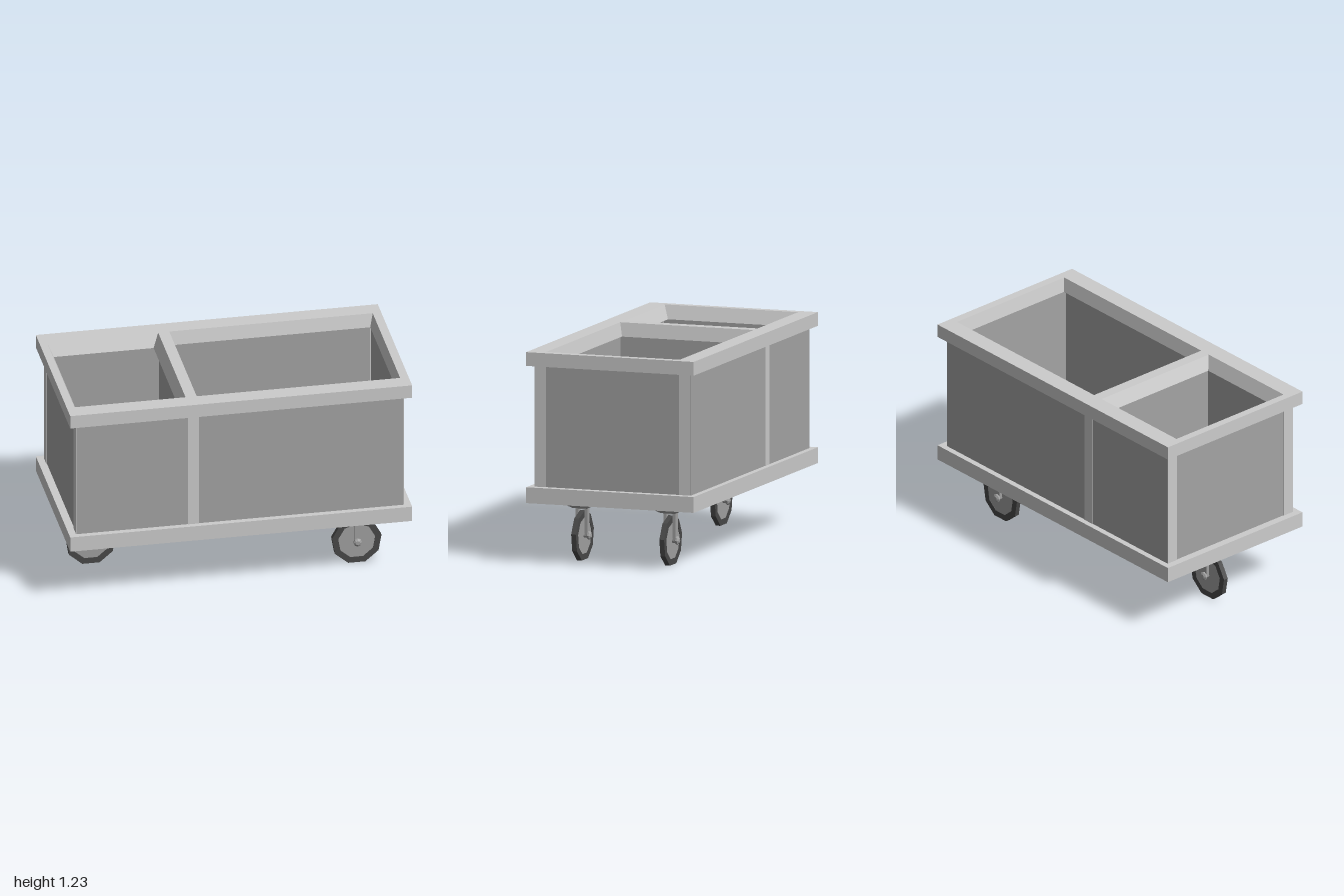
import * as THREE from 'three';

const material = (color) => new THREE.MeshStandardMaterial({ color, flatShading: true });
const frameMat = material(0xcccccc);
const panelMat = material(0xa4a4a4);
const metalMat = material(0xa0a0a0);
const tyreMat = material(0x484848);

function add(parent, name, geometry, mat) {
  const mesh = new THREE.Mesh(geometry, mat);
  mesh.name = name;
  parent.add(mesh);
  return mesh;
}

// Box given by its lower and upper corners
function box(parent, name, mat, [x0, y0, z0], [x1, y1, z1]) {
  const geometry = new THREE.BoxGeometry(x1 - x0, y1 - y0, z1 - z0);
  geometry.translate((x0 + x1) / 2, (y0 + y1) / 2, (z0 + z1) / 2);
  return add(parent, name, geometry, mat);
}

function rectangle(Type, x0, x1, d) {
  const path = new Type();
  path.moveTo(x0, -d).lineTo(x1, -d).lineTo(x1, d).lineTo(x0, d).closePath();
  return path;
}

// Upper frame with two openings that narrow towards the bottom
function rimGeometry() {
  const holes = [
    { x0: -0.955, x1: -0.305, inset: 0.033 },
    { x0: -0.24, x1: 0.95, inset: 0.018 },
  ];
  const shape = rectangle(THREE.Shape, -1, 1, 0.515);
  holes.forEach((h) => shape.holes.push(rectangle(THREE.Path, h.x0, h.x1, 0.41)));
  const geometry = new THREE.ExtrudeGeometry(shape, { depth: 0.08, bevelEnabled: false });
  geometry.rotateX(-Math.PI / 2);
  const p = geometry.attributes.position;
  for (let i = 0; i < p.count; i++) {
    const x = p.getX(i), z = p.getZ(i);
    if (p.getY(i) > 0.04 || Math.abs(z) > 0.45) continue;
    const h = x < -0.27 ? holes[0] : holes[1];
    p.setX(i, x + Math.sign((h.x0 + h.x1) / 2 - x) * h.inset);
    p.setZ(i, z - Math.sign(z) * h.inset);
  }
  geometry.computeVertexNormals();
  return geometry;
}

// Lathe profile turned about the wheel's z axis
function turned(points, sides) {
  const geometry = new THREE.LatheGeometry(points.map(([r, h]) => new THREE.Vector2(r, h)), sides);
  return geometry.rotateX(Math.PI / 2);
}

function createCaster() {
  const caster = new THREE.Group();
  caster.name = 'caster';
  const axleY = 0.138;

  // Mounting plate with a tapered underside
  box(caster, 'mountingPlate', metalMat, [-0.06, 0.317, -0.073], [0.06, 0.352, 0.073]);
  const taper = box(caster, 'plateTaper', metalMat, [-0.06, 0.302, -0.073], [0.06, 0.317, 0.073]);
  const p = taper.geometry.attributes.position;
  for (let i = 0; i < p.count; i++) {
    if (p.getY(i) < 0.31) {
      p.setX(i, p.getX(i) * 0.8);
      p.setZ(i, p.getZ(i) * 0.6);
    }
  }

  // Fork
  box(caster, 'forkBridge', metalMat, [-0.018, 0.293, -0.037], [0.018, 0.304, 0.037]);
  for (const s of [-1, 1]) {
    const leg = box(caster, 'forkLeg', metalMat, [-0.018, 0.138, -0.009], [0.018, 0.296, 0.009]);
    leg.position.z = s * 0.028;
  }

  // Nine-sided tyre ring and hub, standing on a flat side
  const tyre = add(caster, 'tyre', turned(
    [[0.11, -0.0146], [0.147, -0.0146], [0.147, 0.0146], [0.11, 0.0146], [0.11, -0.0146]], 9), tyreMat);
  const hub = add(caster, 'hub', turned(
    [[0, -0.012], [0.11, -0.012], [0.11, 0.012], [0, 0.012]], 9), metalMat);
  for (const part of [tyre, hub]) {
    part.position.y = axleY;
    part.rotation.z = Math.PI;
  }

  // Axle with chamfered nuts at both ends
  const axle = add(caster, 'axle', turned([
    [0, -0.054], [0.013, -0.054], [0.025, -0.046], [0.025, -0.036], [0.015, -0.028],
    [0.015, 0.028], [0.025, 0.036], [0.025, 0.046], [0.013, 0.054], [0, 0.054]], 8), metalMat);
  axle.position.y = axleY + 0.003;
  return caster;
}

export function createModel() {
  const cart = new THREE.Group();
  cart.name = 'cart';

  // Deck, floor and upper frame
  box(cart, 'deck', frameMat, [-1, 0.353, -0.515], [1, 0.445, 0.515]);
  box(cart, 'floorPanel', panelMat, [-0.945, 0.44, -0.42], [0.945, 0.45, 0.42]);
  add(cart, 'topFrame', rimGeometry(), frameMat).position.y = 1.15;

  // Long walls with a post showing at the divider, and corner posts
  const y0 = 0.445, y1 = 1.15;
  for (const s of [-1, 1]) {
    const side = new THREE.Group();
    side.name = s > 0 ? 'frontWall' : 'backWall';
    if (s < 0) side.rotation.y = Math.PI;
    box(side, 'sidePanel', panelMat, [-0.957, y0, 0.41], [0.957, y1, 0.481]);
    for (const e of [-1, 1]) {
      const post = box(side, 'cornerPost', frameMat, [-0.012, y0, 0.409], [0.012, y1, 0.48]);
      post.position.x = e * 0.947;
    }
    const post = box(side, 'middlePost', frameMat, [-0.0325, y0, 0.45], [0.0325, y1, 0.484]);
    post.position.x = s * -0.2725;
    cart.add(side);
  }

  // End walls and inner divider
  box(cart, 'leftEndPanel', panelMat, [0.94, y0, -0.41], [0.955, y1, 0.41]);
  box(cart, 'rightEndPanel', panelMat, [-0.955, y0, -0.41], [-0.94, y1, 0.41]);
  box(cart, 'divider', panelMat, [-0.3, y0, -0.41], [-0.245, y1, 0.41]);

  // Three casters: a pair at one end, a single one at the other
  for (const [x, z] of [[0.72, 0.275], [0.72, -0.267], [-0.78, -0.005]]) {
    const caster = createCaster();
    caster.position.set(x, 0, z);
    cart.add(caster);
  }
  return cart;
}
